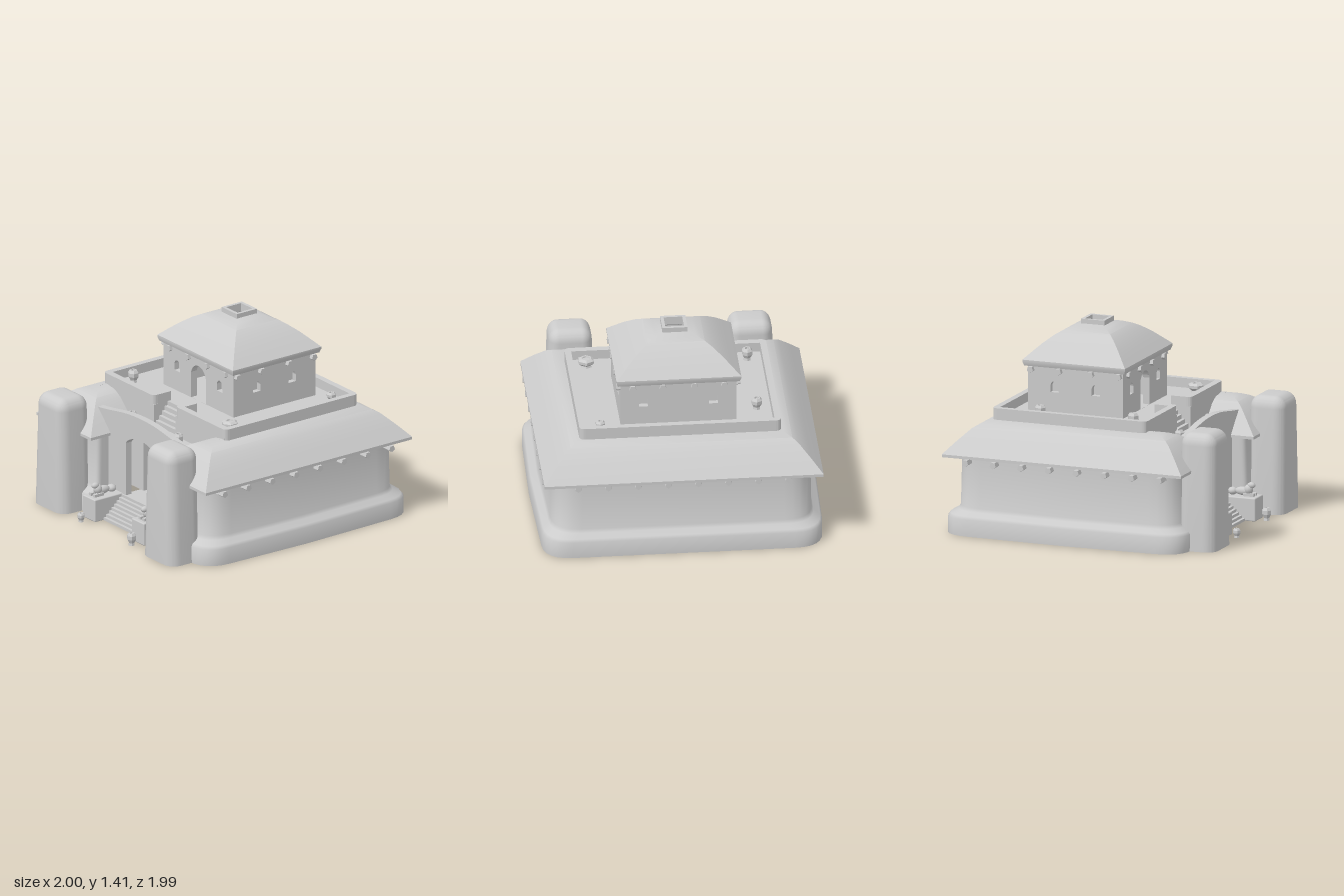
import * as THREE from 'three';
import { toCreasedNormals } from 'three/addons/utils/BufferGeometryUtils.js';
import { RoundedBoxGeometry } from 'three/addons/geometries/RoundedBoxGeometry.js';

const grey = new THREE.MeshStandardMaterial({ color: 0xcccccc });
const shell = new THREE.MeshStandardMaterial({ color: 0xcccccc, side: THREE.DoubleSide });
const facet = new THREE.MeshStandardMaterial({ color: 0xcccccc, flatShading: true });
const mirror = [-1, 1];

export function createModel() {
  const model = new THREE.Group();

  function add(name, geometry, x = 0, y = 0, z = 0, material = grey) {
    const mesh = new THREE.Mesh(geometry, material);
    mesh.name = name;
    mesh.position.set(x, y, z);
    model.add(mesh);
    return mesh;
  }
  // box given by its lower and upper limits
  const block = (name, x0, x1, y0, y1, z0, z1) => add(name,
    new THREE.BoxGeometry(x1 - x0, y1 - y0, z1 - z0), (x0 + x1) / 2, (y0 + y1) / 2, (z0 + z1) / 2);

  // open path through points [x, z, cornerRadius]
  function roundedPath(points, path = new THREE.Path()) {
    path.moveTo(points[0][0], points[0][1]);
    for (let i = 1; i < points.length; i++) {
      const [x, z, r = 0] = points[i];
      if (!r) { path.lineTo(x, z); continue; }
      const p = new THREE.Vector2(x, z);
      const toward = (q) => new THREE.Vector2(q[0], q[1]).sub(p).setLength(r).add(p);
      const a = toward(points[i - 1]), b = toward(points[i + 1]);
      path.lineTo(a.x, a.y);
      path.quadraticCurveTo(x, z, b.x, b.y);
    }
    return path;
  }

  // skin between rings of equal point count; each ring is { y, pts: [Vector2] }
  function loft(rings, crease = 0.6) {
    const n = rings[0].pts.length, pos = [], index = [];
    rings.forEach(({ y, pts }) => pts.forEach((p) => pos.push(p.x, y, p.y)));
    for (let i = 0; i < rings.length - 1; i++) {
      for (let j = 0; j < n - 1; j++) {
        const a = i * n + j, c = a + n;
        index.push(a, c, a + 1, a + 1, c, c + 1);
      }
    }
    const g = new THREE.BufferGeometry();
    g.setAttribute('position', new THREE.Float32BufferAttribute(pos, 3));
    g.setIndex(index);
    return toCreasedNormals(g, crease);
  }

  // plan shape in x and z, thickened downward from its top
  function slab(shape, top, depth) {
    const g = new THREE.ExtrudeGeometry(shape, { depth, bevelEnabled: false, curveSegments: 5 });
    return g.rotateX(Math.PI / 2).translate(0, top, 0);
  }

  // arched opening
  function archHole(x, y0, spring, top, half) {
    const h = new THREE.Path();
    h.moveTo(x - half, y0);
    h.lineTo(x + half, y0);
    h.lineTo(x + half, spring);
    h.bezierCurveTo(x + half * 0.85, top - (top - spring) * 0.3, x + half * 0.35, top, x, top);
    h.bezierCurveTo(x - half * 0.35, top, x - half * 0.85, top - (top - spring) * 0.3, x - half, spring);
    return h;
  }

  // U-shaped main wall: battered plinth, soft corners, sides bowed slightly outward
  const wallRing = ([d, y]) => {
    const X = 0.998 - d, c = X - 0.022, f = 0.82 - d, b = -0.99 + d, r = 0.2;
    return { y, pts: roundedPath([[-0.37, 0.5], [-0.37, f, 0.04], [-c, f, r], [-X, -0.05], [-c, b, r],
      [c, b, r], [X, -0.05], [c, f, r], [0.37, f, 0.04], [0.37, 0.5]]).getPoints(6) };
  };
  add('mainWall', loft([[0, 0], [0, 0.12], [0.012, 0.14], [0.055, 0.165], [0.068, 0.19], [0.075, 0.56]]
    .map(wallRing), 0.9), 0, 0, 0, shell);

  // curved hipped roof following the wall, with two front wings
  const roofRing = ([d, y]) => {
    const X = 0.975 - d, i = 0.35 + d, f = 0.82 - d, b = -0.98 + d;
    return { y, pts: [[-i, 0.3], [-i, f], [-X, f], [-X, b], [X, b], [X, f], [i, f], [i, 0.3]]
      .map((p) => new THREE.Vector2(...p)) };
  };
  add('mainRoof', loft([[0.09, 0.56], [0, 0.55], [0, 0.57], [0.08, 0.657], [0.16, 0.737],
    [0.2, 0.762], [0.25, 0.782], [0.312, 0.793]].map(roofRing)), 0, 0, 0, shell);

  // upper deck with a stair notch, and its parapet
  const deck = roundedPath([[0.125, 0.44], [0.69, 0.44], [0.69, -0.7], [-0.69, -0.7], [-0.69, 0.44],
    [-0.125, 0.44], [-0.125, 0.3], [0.125, 0.3]], new THREE.Shape());
  add('upperDeck', slab(deck, 0.8, 0.18));
  const r = 0.04;
  const parapet = roundedPath([[0.125, 0.3], [0.125, 0.445, r], [0.705, 0.445, r], [0.705, -0.715, r], [-0.705, -0.715, r],
    [-0.705, 0.445, r], [-0.125, 0.445, r], [-0.125, 0.29], [-0.175, 0.29], [-0.175, 0.395], [-0.66, 0.395],
    [-0.66, -0.67], [0.66, -0.67], [0.66, 0.395], [0.175, 0.395], [0.175, 0.29], [0.125, 0.29]], new THREE.Shape());
  add('parapet', slab(parapet, 0.868, 0.085));
  block('terrace', -0.45, 0.45, 0.62, 0.645, 0.28, 0.62);
  for (let i = 0; i < 5; i++) block('deckStep', -0.125, 0.125, 0.63, 0.8 - i * 0.03, 0.29, 0.32 + i * 0.026);

  // gate wall with a swept top
  const gate = new THREE.Shape();
  gate.moveTo(-0.505, 0);
  gate.lineTo(0.505, 0);
  gate.lineTo(0.505, 0.72);
  gate.bezierCurveTo(0.3, 0.74, 0.22, 0.78, 0, 0.78);
  gate.bezierCurveTo(-0.22, 0.78, -0.3, 0.74, -0.505, 0.72);
  gate.holes.push(archHole(0, 0.16, 0.55, 0.617, 0.17));
  add('gateWall', new THREE.ExtrudeGeometry(gate, { depth: 0.05, bevelEnabled: false }), 0, 0, 0.6);

  // entrance hall: floor, stepped jambs, back wall and door
  block('hallFloor', -0.49, 0.49, 0.14, 0.16, -0.62, 0.42);
  block('passageFloor', -0.2, 0.2, 0.14, 0.16, 0.42, 0.6);
  block('hallBackWall', -0.36, 0.36, 0.16, 0.62, 0.22, 0.26);
  block('door', -0.06, 0.06, 0.16, 0.44, 0.26, 0.275);
  for (const s of mirror) {
    [[0.165, 0.5], [0.13, 0.42], [0.095, 0.34]].forEach(([x, z]) =>
      block('hallJamb', Math.min(s * x, s * 0.36), Math.max(s * x, s * 0.36), 0.16, 0.62, z - 0.08, z));
  }

  // entrance stairs
  const steps = 8;
  for (let i = 0; i < steps; i++)
    block('entranceStep', -0.21, 0.21, 0, 0.16 * (1 - i / steps), 0.6, 0.66 + i * 0.022);

  // tapered round-edged front buttresses
  for (const s of mirror) {
    const g = new RoundedBoxGeometry(0.36, 0.93, 0.28, 6, 0.085).translate(0, 0.365, 0);
    const p = g.attributes.position;
    for (let i = 0; i < p.count; i++) {
      const y = Math.max(0, p.getY(i)), t = y / 0.83;
      p.setXYZ(i, p.getX(i) * (1 - 0.17 * t), y, p.getZ(i) * (1 - 0.06 * t));
    }
    add('frontButtress', toCreasedNormals(g, 0.7), s * 0.63, 0, 0.855);
  }

  // six-sided jars
  function jar(x, y, z, radius, height) {
    const profile = [[0, 0], [0.7, 0], [0.6, 0.2], [1, 0.5], [1, 0.8], [0.65, 1], [0.45, 1], [0.4, 0.85], [0, 0.85]]
      .map(([a, b]) => new THREE.Vector2(a * radius, b * height));
    add('jar', new THREE.LatheGeometry(profile, 6), x, y, z, facet);
  }
  [[-0.56, 0.8, -0.41, 0.04, 0.085], [-0.56, 0.8, 0.29, 0.04, 0.09], [0.55, 0.8, -0.595, 0.035, 0.06],
    [0.565, 0.8, 0.3, 0.06, 0.065], [-0.27, 0.645, 0.52, 0.035, 0.08], [0.265, 0.645, 0.52, 0.035, 0.08],
    [-0.285, 0, 0.955, 0.028, 0.065], [0.285, 0, 0.945, 0.034, 0.09]].forEach((a) => jar(...a));

  // stair pedestals carrying crouching animal statues
  for (const s of mirror) {
    add('stairPedestal', new RoundedBoxGeometry(0.145, 0.165, 0.29, 2, 0.008), s * 0.2825, 0.0825, 0.745);
    [[0.19, 0.69, 0.034, 0.027, 0.035], [0.195, 0.77, 0.028, 0.03, 0.065], [0.21, 0.81, 0.032, 0.036, 0.032],
      [0.24, 0.83, 0.022, 0.022, 0.03]].forEach(([y, z, a, b, c]) =>
      add('animalStatue', new THREE.SphereGeometry(1, 10, 8).scale(a, b, c), s * 0.285, y, z));
    for (const t of mirror)
      block('statuePaw', s * 0.285 + t * 0.022 - 0.012, s * 0.285 + t * 0.022 + 0.012, 0.163, 0.185, 0.78, 0.86);
  }

  // tower walls, each with two arched window niches; the front one also with a doorway
  const tz = -0.21;
  function towerWall(half, windowX, reach, turn, door) {
    const s = new THREE.Shape();
    s.moveTo(-half, 0.79);
    s.lineTo(half, 0.79);
    s.lineTo(half, 1.13);
    s.lineTo(-half, 1.13);
    for (const m of mirror) {
      s.holes.push(archHole(m * windowX, 0.945, 0.995, 1.025, 0.032));
      const pane = new THREE.BoxGeometry(0.08, 0.1, 0.01).translate(m * windowX, 0.985, reach - 0.045);
      add('windowPane', pane.rotateY(turn), 0, 0, tz);
    }
    if (door) s.holes.push(archHole(0, 0.801, 0.99, 1.06, 0.085));
    const g = new THREE.ExtrudeGeometry(s, { depth: 0.05, bevelEnabled: false, curveSegments: 6 });
    add('towerWall', g.translate(0, 0, reach - 0.05).rotateY(turn), 0, 0, tz);
  }
  towerWall(0.405, 0.245, 0.357, 0, true);
  towerWall(0.405, 0.245, 0.357, Math.PI, false);
  for (const s of mirror) towerWall(0.356, 0.155, 0.404, s * Math.PI / 2, false);

  // domed four-sided tower roof with an open square cap
  const towerRing = ([h, y]) => {
    const k = h * 0.885;
    return { y, pts: [[-h, k], [-h, -k], [h, -k], [h, k], [-h, k]].map(([x, z]) => new THREE.Vector2(x, z + tz)) };
  };
  add('towerRoof', loft([[0.39, 1.12], [0.425, 1.122], [0.436, 1.15], [0.436, 1.165], [0.38, 1.215], [0.32, 1.267],
    [0.25, 1.318], [0.2, 1.345], [0.14, 1.367], [0.075, 1.38]].map(towerRing)), 0, 0, 0, shell);
  const square = (h, path) => roundedPath([[-h, tz - h], [h, tz - h], [h, tz + h], [-h, tz + h], [-h, tz - h]], path);
  const cap = square(0.088, new THREE.Shape());
  cap.holes.push(square(0.065, new THREE.Path()));
  add('towerCap', slab(cap, 1.41, 0.06));

  // five-sided beam ends below both eaves
  function beam(x, y, z, turn, length) {
    const g = new THREE.CylinderGeometry(0.025, 0.025, length, 5).rotateX(Math.PI / 2);
    add('beamEnd', g, x, y, z, facet).rotation.y = turn;
  }
  for (const s of mirror) {
    for (let i = 0; i < 8; i++) beam(s * 0.93, 0.52, 0.65 - i * 0.208, s * Math.PI / 2, 0.09);
    for (const x of [-0.32, -0.11, 0.11, 0.32]) beam(x, 1.097, tz + s * 0.36, s > 0 ? 0 : Math.PI, 0.04);
    for (const z of [-0.33, -0.12, 0.12, 0.33]) beam(s * 0.405, 1.097, tz + z, s * Math.PI / 2, 0.06);
  }
  for (let i = 0; i < 8; i++) beam(-0.735 + i * 0.21, 0.52, -0.92, Math.PI, 0.06);

  return model;
}
